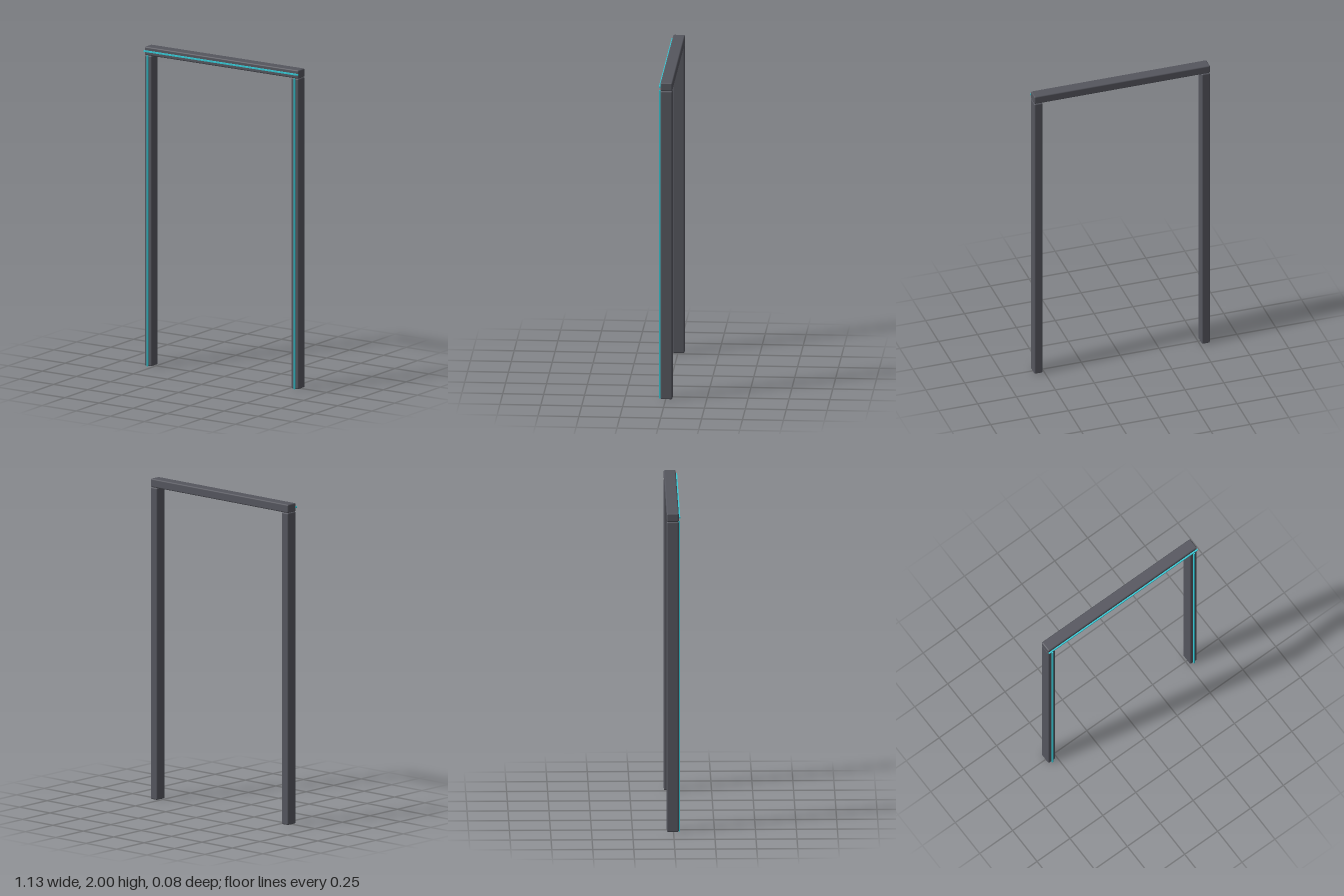
import * as THREE from 'three';
import { RoundedBoxGeometry } from 'three/addons/geometries/RoundedBoxGeometry.js';

export function createModel() {
  const model = new THREE.Group();
  model.name = 'doorFrame';

  const frameMaterial = new THREE.MeshStandardMaterial({ color: 0x55565e });
  const stripMaterial = new THREE.MeshStandardMaterial({ color: 0x35c8d4 });

  const halfWidth = 0.565; // outer half width of the frame
  const bar = 0.053;       // face width of posts and beam
  const depth = 0.073;
  const barZ = -0.0045;    // bars sit slightly back so the strips fit in front
  const strip = 0.009;
  const stripZ = 0.0365;
  const postHeight = 2 - bar;

  function addBar(name, width, height, x, y) {
    const geometry = new RoundedBoxGeometry(width, height, depth, 3, 0.008);
    const mesh = new THREE.Mesh(geometry, frameMaterial);
    mesh.name = name;
    mesh.position.set(x, y, barZ);
    model.add(mesh);
  }

  function addStrip(name, width, height, x, y) {
    const mesh = new THREE.Mesh(new THREE.BoxGeometry(width, height, strip), stripMaterial);
    mesh.name = name;
    mesh.position.set(x, y, stripZ);
    model.add(mesh);
  }

  // Posts, each with a light strip down the middle of its front
  for (const [side, sign] of [['left', 1], ['right', -1]]) {
    const x = sign * (halfWidth - bar / 2);
    addBar(side + 'Post', bar, postHeight, x, postHeight / 2);
    addStrip(side + 'LightStrip', strip, postHeight, x, postHeight / 2);
  }

  // Top beam and its light strip
  addBar('topBeam', halfWidth * 2, bar, 0, 2 - bar / 2);
  addStrip('topLightStrip', halfWidth * 2, strip, 0, 2 - bar / 2);

  return model;
}
